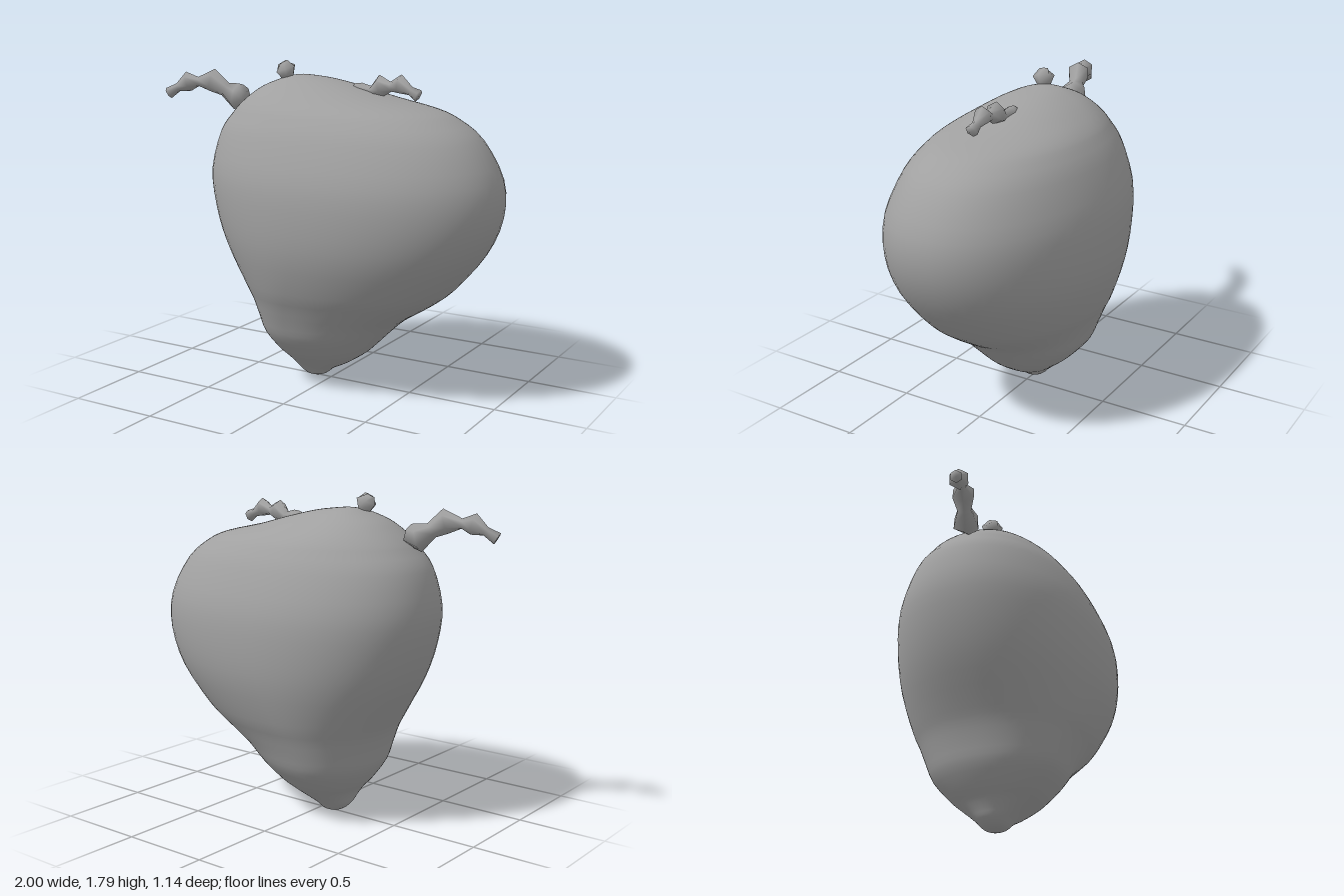
import * as THREE from 'three';
import { mergeVertices } from 'three/addons/utils/BufferGeometryUtils.js';

// Skin a stack of closed rings; rings run so that outward faces are front faces
function loft(rings) {
  const n = rings[0].length;
  const index = [];
  for (let i = 0; i < rings.length - 1; i++) {
    for (let j = 0; j < n; j++) {
      const a = i * n + j, b = i * n + (j + 1) % n;
      index.push(a, a + n, b, b, a + n, b + n);
    }
  }
  let geo = new THREE.BufferGeometry().setFromPoints(rings.flat());
  geo.setIndex(index);
  geo = mergeVertices(geo, 1e-5);
  geo.computeVertexNormals();
  return geo;
}

// Rows: height, left edge, right edge, x of greatest depth, half depth
const ROWS = [
  [0.0, -0.09, -0.09, -0.09, 0],
  [0.02, -0.15, -0.03, -0.09, 0.06],
  [0.06, -0.195, 0.02, -0.09, 0.1],
  [0.1, -0.215, 0.1, -0.085, 0.145],
  [0.15, -0.245, 0.18, -0.08, 0.205],
  [0.2, -0.29, 0.245, -0.08, 0.26],
  [0.3, -0.355, 0.345, -0.08, 0.345],
  [0.4, -0.385, 0.455, -0.07, 0.39],
  [0.5, -0.42, 0.61, -0.04, 0.435],
  [0.6, -0.475, 0.735, 0, 0.485],
  [0.8, -0.59, 0.9, 0.07, 0.55],
  [1.0, -0.665, 0.985, 0.1, 0.57],
  [1.2, -0.695, 0.98, 0.1, 0.553],
  [1.4, -0.65, 0.87, 0.07, 0.475],
  [1.5, -0.58, 0.74, 0.03, 0.41],
  [1.55, -0.535, 0.62, -0.02, 0.365],
  [1.6, -0.475, 0.39, -0.09, 0.3],
  [1.65, -0.4, 0.2, -0.14, 0.22],
  [1.69, -0.3, 0.03, -0.17, 0.13],
  [1.708, -0.24, -0.1, -0.18, 0.06],
  [1.715, -0.18, -0.18, -0.18, 0],
];

function bodyGeometry() {
  const edges = new THREE.CatmullRomCurve3(
    ROWS.map((r) => new THREE.Vector3(r[1], r[0], r[2])), false, 'catmullrom');
  const depth = new THREE.CatmullRomCurve3(
    ROWS.map((r) => new THREE.Vector3(r[3], r[0], r[4])), false, 'catmullrom');
  const steps = (ROWS.length - 1) * 3, sides = 64, rings = [];
  for (let i = 0; i <= steps; i++) {
    const e = edges.getPoint(i / steps), d = depth.getPoint(i / steps);
    const ring = [];
    for (let j = 0; j < sides; j++) {
      const a = (j / sides) * Math.PI * 2;
      // slightly squared ellipse with its own radius on each side
      const c = Math.sign(Math.cos(a)) * Math.abs(Math.cos(a)) ** 0.94;
      const s = Math.sign(Math.sin(a)) * Math.abs(Math.sin(a)) ** 0.94;
      const rx = c > 0 ? e.z - d.x : d.x - e.x;
      ring.push(new THREE.Vector3(d.x + rx * c, e.y, d.z * s));
    }
    rings.push(ring);
  }
  return loft(rings);
}

// Knobbly stalk: points are [x, y, z, radius], capped at both ends
function stalkGeometry(points, sides = 6) {
  const pos = points.map((p) => new THREE.Vector3(p[0], p[1], p[2]));
  const last = pos.length - 1;
  const rings = pos.map((p, i) => {
    const dir = pos[Math.min(i + 1, last)].clone().sub(pos[Math.max(i - 1, 0)]).normalize();
    const ref = Math.abs(dir.y) > 0.9 ? new THREE.Vector3(1, 0, 0) : new THREE.Vector3(0, 1, 0);
    const u = ref.addScaledVector(dir, -ref.dot(dir)).normalize();
    const v = u.clone().cross(dir);
    return Array.from({ length: sides }, (_, j) => {
      const a = (j / sides) * Math.PI * 2;
      return p.clone()
        .addScaledVector(u, Math.cos(a) * points[i][3])
        .addScaledVector(v, Math.sin(a) * points[i][3]);
    });
  });
  const cap = (p) => Array.from({ length: sides }, () => p.clone());
  return loft([cap(pos[0]), ...rings, cap(pos[last])]);
}

export function createModel() {
  const model = new THREE.Group();
  model.name = 'fruitWithStalks';
  const grey = new THREE.MeshStandardMaterial({ color: 0xa0a0a0 });
  grey.name = 'grey';

  const add = (name, geo) => {
    const mesh = new THREE.Mesh(geo, grey);
    mesh.name = name;
    model.add(mesh);
  };

  add('body', bodyGeometry());

  // Long stalk leaning out past the side
  add('sideStalk', stalkGeometry([
    [-0.54, 1.59, 0.04, 0.055],
    [-0.6, 1.575, 0.045, 0.075],
    [-0.66, 1.615, 0.065, 0.042],
    [-0.73, 1.665, 0.09, 0.065],
    [-0.81, 1.655, 0.115, 0.026],
    [-0.87, 1.655, 0.13, 0.056],
    [-0.93, 1.62, 0.15, 0.024],
    [-0.985, 1.585, 0.17, 0.033],
  ]));

  // Short upright stub near the crown
  add('crownStub', stalkGeometry([
    [-0.25, 1.68, 0.04, 0.03],
    [-0.255, 1.71, 0.045, 0.042],
    [-0.26, 1.745, 0.05, 0.06],
    [-0.275, 1.778, 0.06, 0.028],
  ]));

  // Stalk lying along the sloping top
  add('topStalk', stalkGeometry([
    [0.14, 1.655, -0.01, 0.022],
    [0.18, 1.643, -0.01, 0.038],
    [0.25, 1.637, -0.005, 0.03],
    [0.31, 1.672, 0, 0.058],
    [0.365, 1.668, 0, 0.026],
    [0.42, 1.685, 0, 0.05],
    [0.48, 1.65, 0, 0.024],
    [0.525, 1.627, 0, 0.034],
  ]));

  return model;
}
